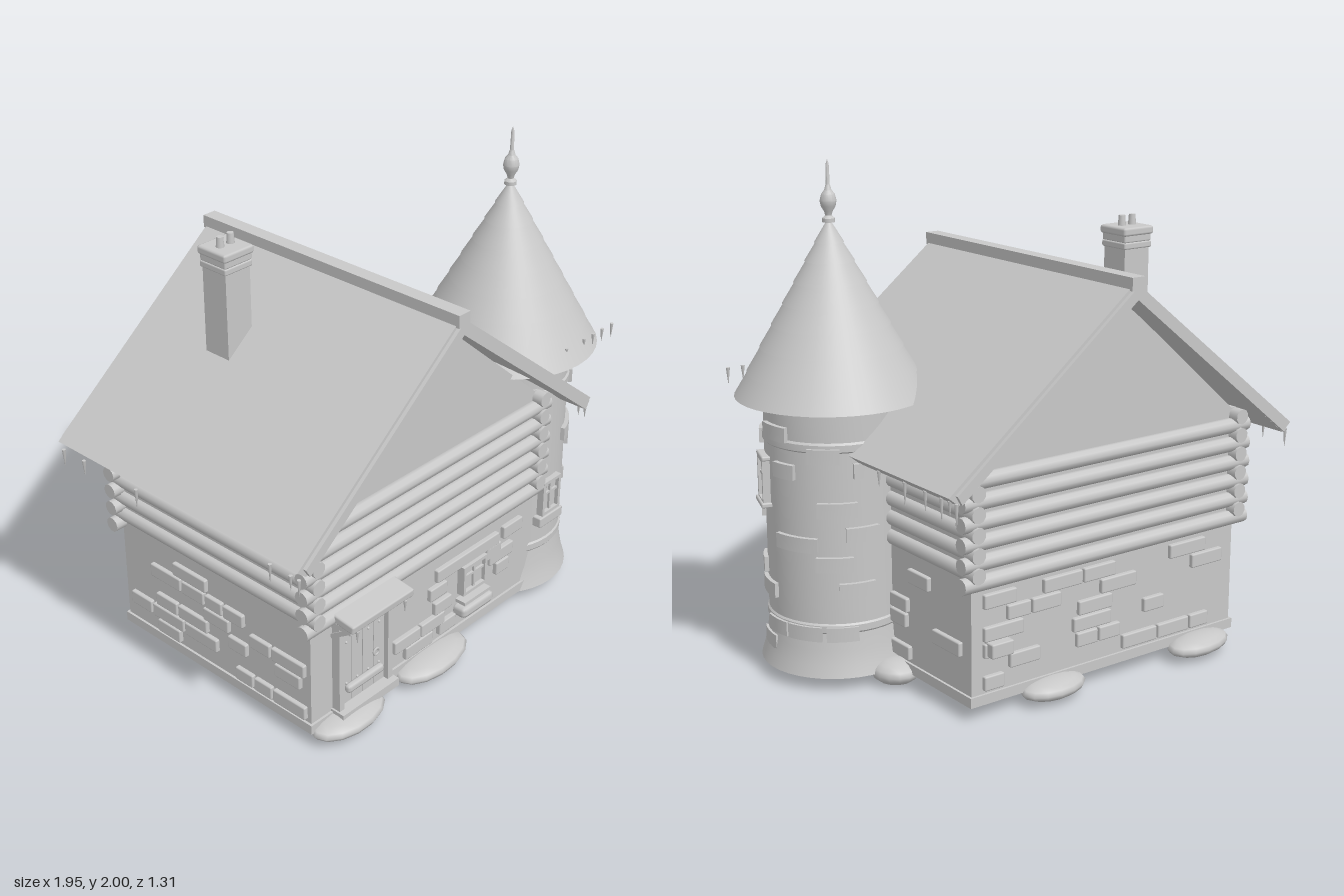
import * as THREE from 'three';
import { toCreasedNormals } from 'three/addons/utils/BufferGeometryUtils.js';
import { RoundedBoxGeometry } from 'three/addons/geometries/RoundedBoxGeometry.js';

const clay = new THREE.MeshStandardMaterial({ color: 0xc8c8c8 });
clay.name = 'light grey';

function add(parent, name, geo, x = 0, y = 0, z = 0) {
  const m = new THREE.Mesh(geo, clay);
  m.name = name;
  m.position.set(x, y, z);
  parent.add(m);
  return m;
}
const box = (p, n, w, h, d, x, y, z) => add(p, n, new THREE.BoxGeometry(w, h, d), x, y, z);
const soft = (p, n, w, h, d, x, y, z, r = 0.006) => add(p, n, new RoundedBoxGeometry(w, h, d, 1, r), x, y, z);
const cyl = (p, n, rt, rb, h, x, y, z, s = 12) => add(p, n, new THREE.CylinderGeometry(rt, rb, h, s), x, y, z);

function group(parent, name, x = 0, y = 0, z = 0, turn = 0) {
  const g = new THREE.Group();
  g.name = name;
  g.position.set(x, y, z);
  g.rotation.y = turn;
  parent.add(g);
  return g;
}

// Prism from an outline in x,y, centred on z
function prism(parent, name, pts, depth, z = 0) {
  const shape = new THREE.Shape(pts.map(p => new THREE.Vector2(p[0], p[1])));
  const geo = new THREE.ExtrudeGeometry(shape, { depth, bevelEnabled: false });
  return add(parent, name, geo, 0, 0, z - depth / 2);
}

function seeded(seed) {
  return () => (seed = (seed * 16807) % 2147483647) / 2147483647;
}

// Paned window facing +z, with a sill
function paneWindow(parent, name, w, h, x, y, z, turn = 0) {
  const g = group(parent, name, x, y, z, turn);
  box(g, 'windowPane', w, h, 0.02, 0, 0, -0.002);
  for (const s of [-1, 1]) {
    box(g, 'windowJamb', 0.014, h + 0.014, 0.04, s * w / 2, 0, 0.005);
    box(g, 'windowRail', w + 0.014, 0.014, 0.04, 0, s * h / 2, 0.005);
  }
  box(g, 'windowMullion', 0.01, h, 0.03, 0, 0, 0.003);
  box(g, 'windowBar', w, 0.01, 0.03, 0, h * 0.12, 0.003);
  return g;
}

function icicle(parent, x, y, z, len) {
  cyl(parent, 'icicle', 0.008, 0.001, len, x, y - len / 2, z, 6);
}

const X0 = -0.14, LEFT = -0.79, RIGHT = 0.51, ZW = 0.515;

function buildHouse(root) {
  const house = group(root, 'house');
  const mid = (LEFT + RIGHT) / 2;
  box(house, 'stoneWalls', RIGHT - LEFT, 0.94, ZW * 2, mid, 0.525, 0);
  box(house, 'wallFooting', RIGHT - LEFT + 0.02, 0.04, ZW * 2 + 0.02, mid, 0.078, 0);
  prism(house, 'gable', [[X0 - 0.655, 0.97], [X0 + 0.655, 0.97], [X0, 1.54]], ZW * 2);

  // Crossed log courses
  for (let i = 0; i < 6; i++) {
    const y = 0.54 + i * 0.077;
    for (const s of [-1, 1]) {
      cyl(house, 'longLog', 0.031, 0.031, 1.4, mid, y, s * 0.522, 10).rotation.z = Math.PI / 2;
      const x = s < 0 ? LEFT + 0.005 : RIGHT - 0.005;
      cyl(house, 'crossLog', 0.031, 0.031, 1.12, x, y + 0.0385, 0, 10).rotation.x = Math.PI / 2;
    }
  }

  // Raised stones on the front wall: x, y, width
  const stones = [[0.0, 0.41, 0.2], [0.18, 0.41, 0.2], [0.37, 0.415, 0.12], [0.3, 0.325, 0.15],
    [-0.09, 0.34, 0.1], [0.31, 0.26, 0.08], [-0.27, 0.2, 0.15], [-0.12, 0.2, 0.14],
    [-0.2, 0.14, 0.16], [-0.03, 0.15, 0.1], [0.25, 0.36, 0.09], [-0.06, 0.26, 0.1]];
  for (const [x, y, w] of stones) soft(house, 'wallStone', w, 0.057, 0.04, x, y, ZW);
  // Scattered stones on the other three walls
  const rnd = seeded(41);
  const walls = [[mid, -ZW, Math.PI, 1.2], [LEFT, 0, -Math.PI / 2, 0.95], [RIGHT, -0.25, Math.PI / 2, 0.5]];
  for (const [x, z, turn, len] of walls) {
    const wall = group(house, 'wallStones', x, 0, z, turn);
    for (let row = 0; row < 6; row++) {
      for (let u = -len / 2; u < len / 2 - 0.13;) {
        const w = 0.09 + rnd() * 0.1;
        if (rnd() < 0.45) soft(wall, 'wallStone', w, 0.057, 0.036, u + w / 2, 0.14 + row * 0.064, 0);
        u += w + 0.008;
      }
    }
  }
  soft(house, 'cornerStone', 0.1, 0.057, 0.06, 0.4, 0.275, -0.535);

  // Roof slabs, gable boards and ridge
  for (const s of [-1, 1]) {
    const slab = [[X0, 1.59], [X0 + s * 0.832, 0.93], [X0 + s * 0.79, 0.895], [X0, 1.53]];
    prism(house, 'roofSlab', slab, 1.28);
    const board = [[X0, 1.575], [X0 + s * 0.805, 0.935], [X0 + s * 0.785, 0.9], [X0, 1.525]];
    for (const z of [-0.645, 0.645]) prism(house, 'gableBoard', board, 0.02, z);
  }
  box(house, 'ridgeBeam', 0.06, 0.05, 1.31, X0, 1.585, 0);

  // Eave icicles
  for (const z of [0.64, 0.61, -0.15, -0.32, -0.45, -0.55, -0.6, -0.64])
    icicle(house, 0.66, 0.905, z, 0.05 + rnd() * 0.04);
  for (const z of [0.64, 0.6, 0.5, -0.2, -0.5, -0.62])
    icicle(house, -0.965, 0.9, z, 0.05 + rnd() * 0.03);
}

function buildChimney(root) {
  const c = group(root, 'chimney', -0.465, 0, -0.21);
  box(c, 'chimneyStack', 0.122, 0.5, 0.122, 0, 1.4, 0);
  soft(c, 'chimneyBand', 0.138, 0.026, 0.138, 0, 1.643, 0);
  soft(c, 'chimneyCap', 0.15, 0.034, 0.15, 0, 1.698, 0, 0.01);
  soft(c, 'chimneyLip', 0.135, 0.05, 0.135, 0, 1.68, 0);
  for (const s of [-1, 1]) cyl(c, 'chimneyPot', 0.013, 0.017, 0.05, s * 0.026, 1.73, 0);
}

function buildDoor(root) {
  const d = group(root, 'door', -0.53, 0, ZW);
  for (let i = 0; i < 4; i++) box(d, 'doorPlank', 0.058, 0.37, 0.03, -0.0915 + i * 0.061, 0.29, 0.002);
  for (const s of [-1, 1]) {
    box(d, 'doorPost', 0.026, 0.42, 0.06, s * 0.134, 0.3, 0.008);
    // Porch bracket and strut
    box(d, 'porchBracket', 0.02, 0.02, 0.1, s * 0.145, 0.505, 0.05);
    box(d, 'porchStrut', 0.018, 0.018, 0.11, s * 0.145, 0.475, 0.045).rotation.x = -0.6;
    icicle(d, s * 0.13, 0.51, 0.112, 0.05);
    for (const y of [0.2, 0.39]) for (const x of [0.03, 0.09])
      add(d, 'doorStud', new THREE.SphereGeometry(0.006, 8, 6), s * x, y, 0.018);
  }
  box(d, 'doorLintel', 0.3, 0.03, 0.06, 0, 0.495, 0.008);
  box(d, 'doorThreshold', 0.31, 0.035, 0.09, 0, 0.09, 0.02);
  soft(d, 'porchRoof', 0.335, 0.035, 0.125, 0, 0.54, 0.062, 0.008).rotation.x = 0.12;
  soft(d, 'doorBar', 0.2, 0.036, 0.03, 0, 0.18, 0.028, 0.013);
  add(d, 'doorKnocker', new THREE.TorusGeometry(0.014, 0.005, 6, 14), 0.07, 0.262, 0.024);
}

// Bends a flat block around the tower radius
function bentBlock(w, h, depth, radius) {
  const geo = new THREE.BoxGeometry(w, h, depth, 6, 1, 1);
  const p = geo.attributes.position;
  for (let i = 0; i < p.count; i++) {
    const a = p.getX(i) / radius, r = radius + p.getZ(i);
    p.setXYZ(i, Math.sin(a) * r, p.getY(i), Math.cos(a) * r);
  }
  geo.computeVertexNormals();
  return geo;
}

function buildTower(root) {
  const t = group(root, 'tower', 0.6, 0, 0.26);
  const lathe = (pts, n = 40) => toCreasedNormals(
    new THREE.LatheGeometry(pts.map(p => new THREE.Vector2(p[0], p[1])), n), 0.5);
  add(t, 'towerWall', lathe([[0, 0.055], [0.306, 0.055], [0.292, 0.1], [0.28, 0.16], [0.272, 0.225],
    [0.277, 0.232], [0.277, 0.258], [0.271, 0.265], [0.269, 0.94], [0.276, 0.946], [0.276, 0.972],
    [0.269, 0.98], [0.269, 1.13]]));

  // Raised stones: angle from the front, height, width
  const stones = [[94, 1.0, 0.14], [105, 0.86, 0.1], [48, 0.65, 0.11], [115, 0.58, 0.18], [147, 0.505, 0.14],
    [77, 0.365, 0.14], [92, 0.225, 0.12], [121, 0.225, 0.14], [77, 0.15, 0.13], [150, 0.72, 0.15],
    [152, 0.225, 0.12], [34, 0.72, 0.17], [48, 0.95, 0.14], [140, 0.93, 0.12], [165, 0.4, 0.14],
    [170, 0.62, 0.13], [178, 0.87, 0.14], [60, 0.44, 0.1], [-50, 0.33, 0.12]];
  for (const [deg, y, w] of stones)
    add(t, 'towerStone', bentBlock(w, 0.058, 0.03, 0.272), 0, y, 0).rotation.y = deg * Math.PI / 180;

  // Windows on the front and the outer side
  const front = group(t, 'frontWindow', -0.005, 0, 0.268);
  paneWindow(front, 'towerWindow', 0.1, 0.145, 0, 0.475, 0);
  soft(front, 'windowSill', 0.15, 0.045, 0.05, 0, 0.37, 0.005);
  const side = group(t, 'sideWindow', 0, 0, 0, 71 * Math.PI / 180);
  paneWindow(side, 'towerWindow', 0.095, 0.165, 0, 0.79, 0.268);
  soft(side, 'windowSill', 0.13, 0.02, 0.06, 0, 0.698, 0.272);
  soft(side, 'windowHead', 0.12, 0.018, 0.05, 0, 0.882, 0.27);

  // Overlapping conical roof courses
  const ys = [1.11, 1.2, 1.295, 1.38, 1.46, 1.54, 1.62, 1.69, 1.78];
  const rad = y => 0.372 * (1.785 - y) / 0.675;
  for (let i = 0; i < 8; i++) {
    const h = ys[i + 1] - ys[i];
    cyl(t, 'roofCourse', rad(ys[i + 1]) - 0.001, rad(ys[i]) + 0.004, h, 0, ys[i] + h / 2, 0, 40);
  }
  add(t, 'finial', lathe([[0.024, 1.765], [0.024, 1.78], [0.012, 1.79], [0.016, 1.805], [0.028, 1.825],
    [0.032, 1.845], [0.026, 1.87], [0.014, 1.885], [0.01, 1.9], [0.008, 1.905], [0.006, 1.98], [0, 2]], 16));
  for (const x of [-0.03, 0.085, 0.145, 0.205, 0.27]) icicle(t, x, 1.18, 0.335, 0.03 + Math.abs(x) * 0.12);
}

function buildRocks(root) {
  // x, z, half widths
  const rocks = [[-0.62, 0.54, 0.18, 0.1], [-0.14, 0.54, 0.2, 0.1], [0.14, -0.53, 0.15, 0.09],
    [-0.59, -0.55, 0.16, 0.09], [0.54, 0.19, 0.09, 0.12], [0.54, -0.05, 0.09, 0.1]];
  rocks.forEach(([x, z, rx, rz], i) => {
    const m = add(root, 'baseRock', new THREE.SphereGeometry(1, 14, 8), x, 0.053, z);
    m.scale.set(rx, i > 3 ? 0.05 : 0.042, rz);
    m.rotation.y = i * 0.05;
  });
}

export function createModel() {
  const root = new THREE.Group();
  root.name = 'cottageWithTower';
  buildHouse(root);
  buildChimney(root);
  buildDoor(root);
  // Front window with planter
  paneWindow(root, 'frontWindow', 0.13, 0.12, 0.115, 0.32, ZW + 0.01);
  soft(root, 'planter', 0.19, 0.05, 0.07, 0.115, 0.185, ZW + 0.025, 0.018);
  box(root, 'planterShelf', 0.16, 0.015, 0.06, 0.115, 0.225, ZW + 0.02);
  buildTower(root);
  buildRocks(root);
  return root;
}
